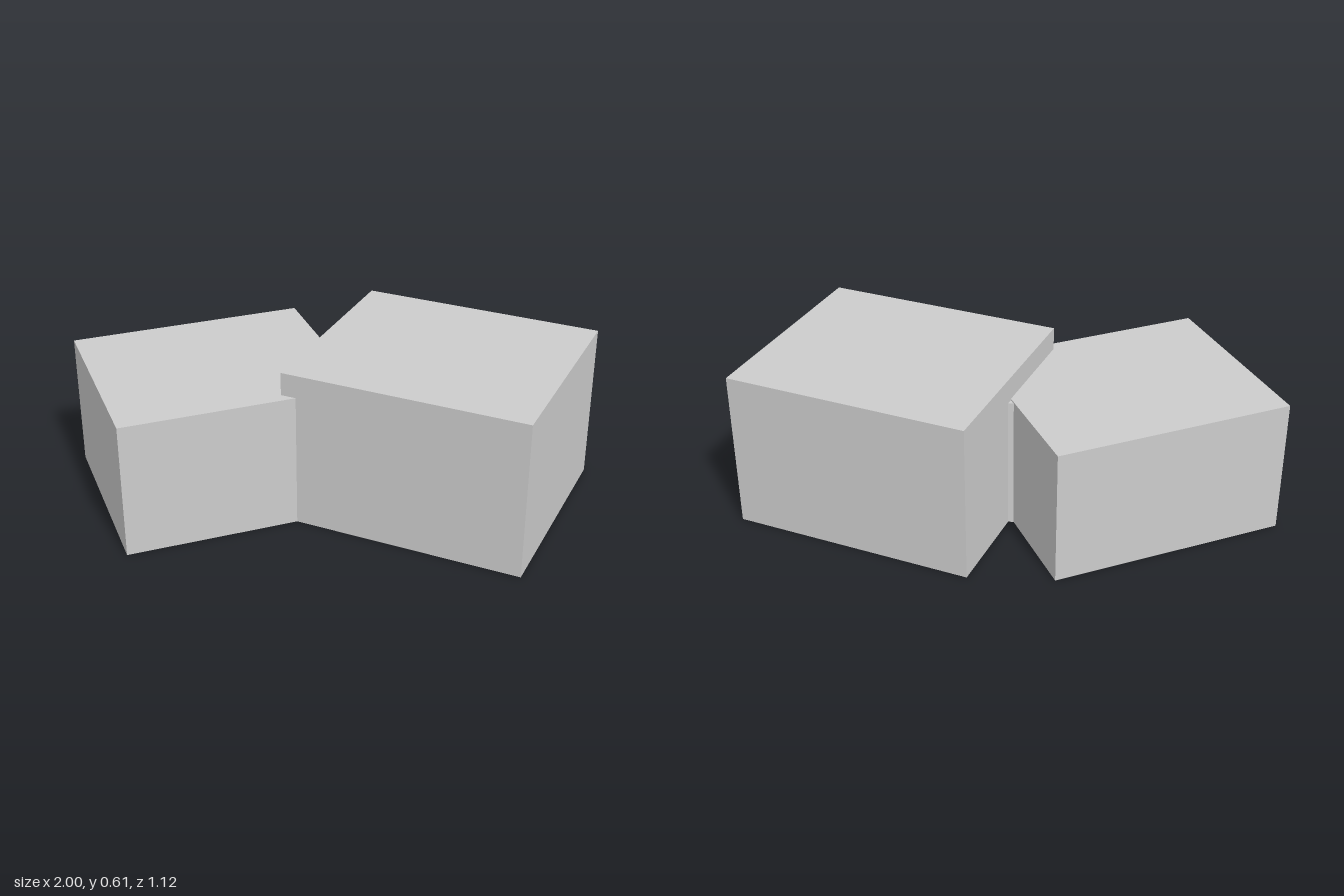
import * as THREE from 'three';

export function createModel() {
  const group = new THREE.Group();
  const grey = new THREE.MeshStandardMaterial({ color: 0xcccccc });
  grey.name = 'lightGrey';

  // Upright block standing on the ground, turned about the vertical axis
  function block(name, w, h, d, x, z, turn) {
    const mesh = new THREE.Mesh(new THREE.BoxGeometry(w, h, d), grey);
    mesh.name = name;
    mesh.position.set(x, h / 2, z);
    mesh.rotation.y = turn;
    group.add(mesh);
  }

  const turn = Math.PI / 8;
  // Two wings splayed symmetrically, the left one taller
  block('tallLeftWing', 0.926, 0.605, 0.818, 0.415, 0.005, -turn);
  block('lowRightWing', 0.899, 0.517, 0.753, -0.44, -0.045, turn);
  // Small fill in the rear corner where the wings meet
  block('cornerFill', 0.06, 0.512, 0.1, -0.01, -0.155, 0);

  return group;
}
